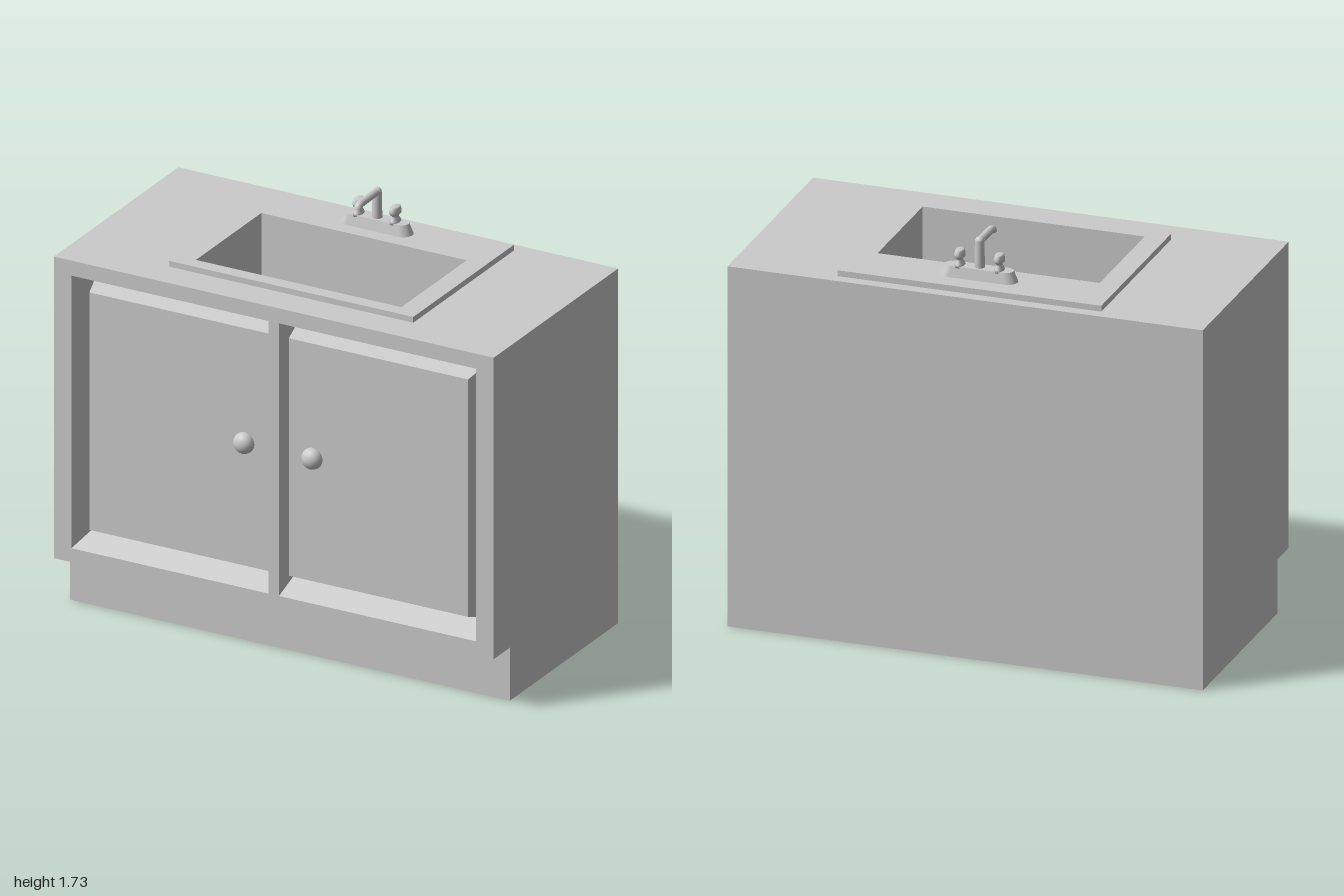
import * as THREE from 'three';

const material = new THREE.MeshStandardMaterial({ color: 0xcccccc });

function add(parent, name, geometry, x = 0, y = 0, z = 0) {
  const mesh = new THREE.Mesh(geometry, material);
  mesh.name = name;
  mesh.position.set(x, y, z);
  parent.add(mesh);
  return mesh;
}

// Box given by its limits
function addBox(parent, name, x0, x1, y0, y1, z0, z1) {
  return add(parent, name, new THREE.BoxGeometry(x1 - x0, y1 - y0, z1 - z0),
    (x0 + x1) / 2, (y0 + y1) / 2, (z0 + z1) / 2);
}

const corners = (x0, x1, y0, y1) => [[x0, y0], [x1, y0], [x1, y1], [x0, y1]]
  .map(([x, y]) => new THREE.Vector2(x, y));

// Flat board with rectangular holes
function board(outer, holes, depth) {
  const shape = new THREE.Shape(corners(...outer));
  holes.forEach(h => shape.holes.push(new THREE.Path(corners(...h).reverse())));
  return new THREE.ExtrudeGeometry(shape, { depth, bevelEnabled: false });
}

// Nested rectangles [x0, x1, y0, y1, z] joined by sloping bands, last one filled
function steppedRects(sections) {
  const rings = sections.map(s =>
    corners(...s.slice(0, 4)).map(c => [c.x, c.y, s[4]]));
  const pos = [];
  const quad = (a, b, c, d) => pos.push(...a, ...b, ...c, ...a, ...c, ...d);
  for (let r = 0; r < rings.length - 1; r++) {
    for (let i = 0; i < 4; i++) {
      const j = (i + 1) % 4;
      quad(rings[r][i], rings[r][j], rings[r + 1][j], rings[r + 1][i]);
    }
  }
  quad(...rings[rings.length - 1]);
  const geometry = new THREE.BufferGeometry();
  geometry.setAttribute('position', new THREE.Float32BufferAttribute(pos, 3));
  geometry.computeVertexNormals();
  return geometry;
}

function createCabinet() {
  const cabinet = new THREE.Group();
  cabinet.name = 'cabinet';
  // Side panels with the toe-kick notch
  const side = new THREE.Shape([[0.5, 0], [0.5, 1.515], [-0.49, 1.515], [-0.49, 0.23],
    [-0.37, 0.23], [-0.37, 0]].map(([a, b]) => new THREE.Vector2(a, b)));
  for (const x of [-1, 0.98]) {
    const panel = add(cabinet, 'sidePanel',
      new THREE.ExtrudeGeometry(side, { depth: 0.02, bevelEnabled: false }), x);
    panel.rotation.y = Math.PI / 2;
  }
  addBox(cabinet, 'backPanel', -0.98, 0.98, 0, 1.515, -0.5, -0.48);
  addBox(cabinet, 'bottomPanel', -0.98, 0.98, 0, 0.02, -0.48, 0.35);
  addBox(cabinet, 'toeKick', -0.98, 0.98, 0, 0.23, 0.35, 0.37);
  addBox(cabinet, 'cabinetFloor', -0.98, 0.98, 0.23, 0.25, 0.35, 0.49);
  add(cabinet, 'frontFrame', board([-1, 1, 0.23, 1.515],
    [[-0.92, -0.024, 0.29, 1.47], [0.024, 0.92, 0.29, 1.47]], 0.01), 0, 0, 0.49);
  const top = add(cabinet, 'countertop',
    board([-1, 1, -0.5, 0.5], [[-0.48, 0.48, -0.31, 0.235]], 0.02), 0, 1.515);
  top.rotation.x = -Math.PI / 2;
  return cabinet;
}

// Recessed door with a raised panel and a round knob
function createDoor(s) {
  const door = new THREE.Group();
  door.name = s > 0 ? 'leftDoor' : 'rightDoor';
  const rects = [
    [0.024, 0.92, 0.29, 1.47, 0.5],
    [0.033, 0.882, 0.342, 1.418, 0.39],
    [0.035, 0.878, 0.345, 1.415, 0.39],
    [0.046, 0.861, 0.367, 1.395, 0.46],
  ].map(([a, b, ...rest]) => (s > 0 ? [a, b, ...rest] : [-b, -a, ...rest]));
  add(door, 'doorPanel', steppedRects(rects));
  const knob = add(door, 'knob', new THREE.SphereGeometry(0.045, 24, 16), s * 0.155, 0.9, 0.465);
  knob.scale.z = 0.84;
  return door;
}

function createSink() {
  const sink = add(new THREE.Group(), 'sink', steppedRects([
    [-0.555, 0.555, -0.36, 0.45, 1.535],
    [-0.555, 0.555, -0.36, 0.45, 1.56],
    [-0.467, 0.467, -0.3, 0.225, 1.56],
    [-0.467, 0.467, -0.3, 0.225, 1.1],
  ]));
  sink.rotation.x = -Math.PI / 2;
  return sink;
}

function createFaucet() {
  const faucet = new THREE.Group();
  faucet.name = 'faucet';
  faucet.position.set(0, 1.56, -0.33);
  // Base plate: round-ended and narrowing towards the top
  const plate = new THREE.Shape();
  plate.absarc(0.12, 0, 0.04, -Math.PI / 2, Math.PI / 2);
  plate.absarc(-0.12, 0, 0.04, Math.PI / 2, Math.PI * 1.5);
  const geometry = new THREE.ExtrudeGeometry(plate,
    { depth: 0.045, bevelEnabled: false, curveSegments: 16 });
  const p = geometry.attributes.position;
  for (let i = 0; i < p.count; i++) {
    if (p.getZ(i) > 0.02) p.setXY(i, p.getX(i) * 0.89, p.getY(i) * 0.75);
  }
  geometry.computeVertexNormals();
  add(faucet, 'basePlate', geometry).rotation.x = -Math.PI / 2;

  // Spout: riser, forward arm and turned-down tip
  add(faucet, 'riser', new THREE.CylinderGeometry(0.019, 0.021, 0.12, 20), 0, 0.1, 0);
  const path = new THREE.CurvePath();
  const v = (y, z) => new THREE.Vector3(0, y, z);
  path.add(new THREE.LineCurve3(v(0.14, 0), v(0.148, 0)));
  path.add(new THREE.QuadraticBezierCurve3(v(0.148, 0), v(0.156, 0), v(0.156, 0.01)));
  path.add(new THREE.LineCurve3(v(0.156, 0.01), v(0.154, 0.13)));
  path.add(new THREE.QuadraticBezierCurve3(v(0.154, 0.13), v(0.153, 0.152), v(0.138, 0.154)));
  add(faucet, 'spout', new THREE.TubeGeometry(path, 40, 0.016, 16));
  add(faucet, 'elbow', new THREE.SphereGeometry(0.019, 20, 12), 0, 0.155, 0);
  const tip = add(faucet, 'spoutTip', new THREE.CircleGeometry(0.016, 16), 0, 0.138, 0.154);
  tip.rotation.x = Math.PI / 2;

  // Turned handles, deeper than they are wide
  const profile = [[0, 0.04], [0.021, 0.04], [0.018, 0.052], [0.011, 0.066], [0.013, 0.073],
    [0.02, 0.08], [0.021, 0.094], [0.018, 0.1], [0.018, 0.107], [0.014, 0.111], [0, 0.112]]
    .map(([r, y]) => new THREE.Vector2(r, y));
  for (const x of [-0.083, 0.083]) {
    add(faucet, 'handle', new THREE.LatheGeometry(profile, 24), x).scale.z = 1.65;
  }
  return faucet;
}

export function createModel() {
  const model = new THREE.Group();
  model.name = 'sinkCabinet';
  model.add(createCabinet(), createDoor(1), createDoor(-1), createSink(), createFaucet());
  return model;
}
